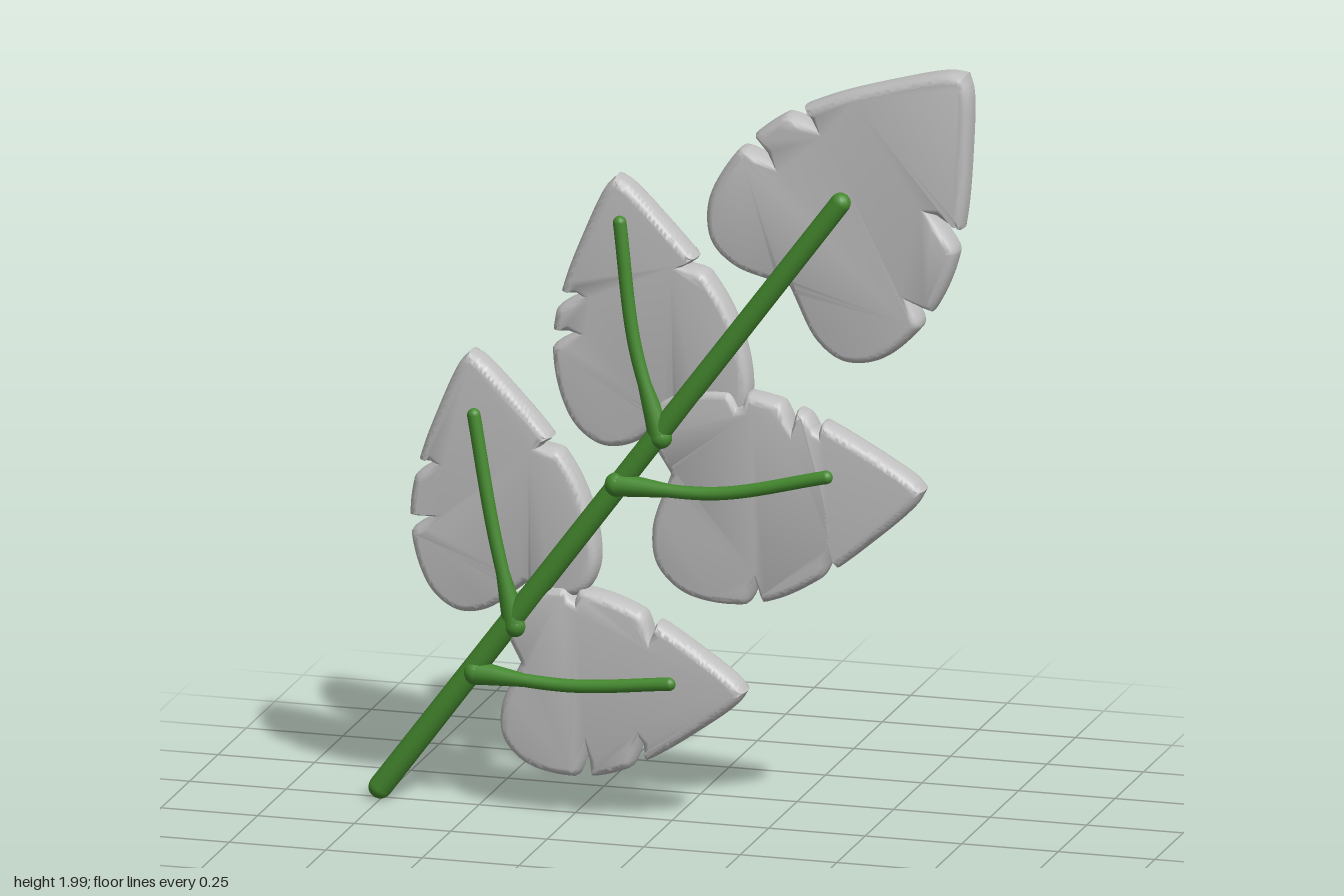
import * as THREE from 'three';
import { mergeVertices, toCreasedNormals } from 'three/addons/utils/BufferGeometryUtils.js';

// Half outline of a heart-shaped leaf: [along the axis, share of the half width].
const HALF = new THREE.CatmullRomCurve3([
  [0, 0], [-0.08, 0.45], [-0.06, 0.75], [0.04, 0.94], [0.15, 1], [0.28, 1],
  [0.42, 0.93], [0.6, 0.73], [0.8, 0.42], [0.96, 0.13], [1, 0],
].map(([u, v]) => new THREE.Vector3(u, v, 0)));

// Each side of a leaf: half width, then notches as [place along the axis, depth].
const LEAVES = [
  { name: 'tipLeaf', base: [0.3, 1.4], tip: [0.765, 1.99], z: -0.02,
    sides: [[0.315, [0.3, 0.33], [0.5, 0.26]], [0.315, [0.26, 0.2], [0.55, 0.45]]] },
  { name: 'upperRightLeaf', base: [0, 1.04], tip: [-0.15, 1.65], z: -0.03,
    sides: [[0.28, [0.4, 0.3], [0.55, 0.3]], [0.23, [0.6, 0.25]]] },
  { name: 'lowerRightLeaf', base: [-0.38, 0.58], tip: [-0.53, 1.165], z: -0.035,
    sides: [[0.27, [0.34, 0.25], [0.565, 0.25]], [0.215, [0.565, 0.25]]] },
  { name: 'upperLeftLeaf', base: [0, 0.9], tip: [0.67, 0.92], z: 0.015,
    sides: [[0.225, [0.29, 0.22], [0.49, 0.27], [0.59, 0.22]], [0.325, [0.33, 0.17], [0.63, 0.18]]] },
  { name: 'lowerLeftLeaf', base: [-0.39, 0.38], tip: [0.205, 0.36], z: 0.008,
    sides: [[0.21, [0.23, 0.18], [0.58, 0.33]], [0.275, [0.31, 0.35], [0.55, 0.33]]] },
];

// Side stalks: start, middle and end points.
const STALKS = [
  ['upperRightStalk', [-0.02, 1.0, 0.035], [-0.09, 1.23, 0.025], [-0.13, 1.54, 0.02]],
  ['lowerRightStalk', [-0.4, 0.48, 0.025], [-0.46, 0.73, 0.018], [-0.51, 1.01, 0.012]],
  ['upperLeftStalk', [-0.13, 0.87, 0.045], [0.13, 0.87, 0.055], [0.42, 0.94, 0.072]],
  ['lowerLeftStalk', [-0.5, 0.35, 0.03], [-0.25, 0.34, 0.045], [0.01, 0.37, 0.062]],
];

const LEAN = 0.075; // leaves come forward towards +x

// Width left at u after cutting notches, steep on the tip side and rounded below.
function notchFactor(u, notches) {
  let factor = 1;
  for (const [place, depth] of notches) {
    const reach = u > place ? 0.025 : 0.05;
    const near = Math.max(0, 1 - Math.abs(u - place) / reach);
    factor -= depth * near * near;
  }
  return factor;
}

function leafGeometry({ base, tip, z, sides }) {
  const start = new THREE.Vector2(...base);
  const axis = new THREE.Vector2(...tip).sub(start);
  const normal = new THREE.Vector2(-axis.y, axis.x).normalize();
  const samples = HALF.getSpacedPoints(200);

  const [left, right] = sides.map(([width, ...notches], i) => samples.map((p) => {
    const v = p.y * width * notchFactor(p.x, notches) * (i === 0 ? 1 : -1);
    return start.clone().addScaledVector(axis, p.x).addScaledVector(normal, v);
  }));
  const outline = [...left, ...right.slice(1, -1).reverse()];

  let geo = new THREE.ExtrudeGeometry(new THREE.Shape(outline), {
    depth: 0.022, bevelEnabled: true, bevelThickness: 0.034,
    bevelSize: 0.022, bevelOffset: -0.022, bevelSegments: 5,
  });
  const middleX = (base[0] + tip[0]) / 2;
  const pos = geo.attributes.position;
  for (let i = 0; i < pos.count; i++) {
    pos.setZ(i, pos.getZ(i) - 0.011 + z + LEAN * (pos.getX(i) - middleX));
  }
  geo.deleteAttribute('uv');
  geo.deleteAttribute('normal');
  geo = mergeVertices(geo, 1e-5);
  return toCreasedNormals(geo, 0.9);
}

// Round rod along a curve, tapering by radius(t), with ball ends.
function rod(name, curve, radius, material) {
  const group = new THREE.Group();
  group.name = name;
  const rings = 24, sides = 16;
  const geo = new THREE.TubeGeometry(curve, rings, 1, sides, false);
  const pos = geo.attributes.position;
  const v = new THREE.Vector3();
  for (let i = 0; i < pos.count; i++) {
    const t = Math.floor(i / (sides + 1)) / rings;
    const c = curve.getPointAt(t);
    v.fromBufferAttribute(pos, i).sub(c).multiplyScalar(radius(t)).add(c);
    pos.setXYZ(i, v.x, v.y, v.z);
  }
  const tube = new THREE.Mesh(geo, material);
  tube.name = name + 'Rod';
  group.add(tube);
  for (const t of [0, 1]) {
    const end = new THREE.Mesh(new THREE.SphereGeometry(radius(t), 16, 12), material);
    end.name = name + 'End';
    end.position.copy(curve.getPointAt(t));
    group.add(end);
  }
  return group;
}

export function createModel() {
  const model = new THREE.Group();
  model.name = 'leafyBranch';
  const leafGrey = new THREE.MeshStandardMaterial({ color: 0xc0c0c0 });
  leafGrey.name = 'leafGrey';
  const stemGreen = new THREE.MeshStandardMaterial({ color: 0x458a2f });
  stemGreen.name = 'stemGreen';

  // Leaves
  for (const leaf of LEAVES) {
    const mesh = new THREE.Mesh(leafGeometry(leaf), leafGrey);
    mesh.name = leaf.name;
    model.add(mesh);
  }

  // Main stem
  const stem = new THREE.LineCurve3(
    new THREE.Vector3(-0.752, 0.03, 0.012), new THREE.Vector3(0.45, 1.645, 0.048));
  model.add(rod('stem', stem, (t) => 0.03 - 0.004 * t, stemGreen));

  // Side stalks, flared where they join the stem
  for (const [name, ...pts] of STALKS) {
    const curve = new THREE.CatmullRomCurve3(pts.map((p) => new THREE.Vector3(...p)));
    model.add(rod(name, curve, (t) => 0.017 + 0.014 * Math.max(0, 1 - t * 4), stemGreen));
  }
  return model;
}
